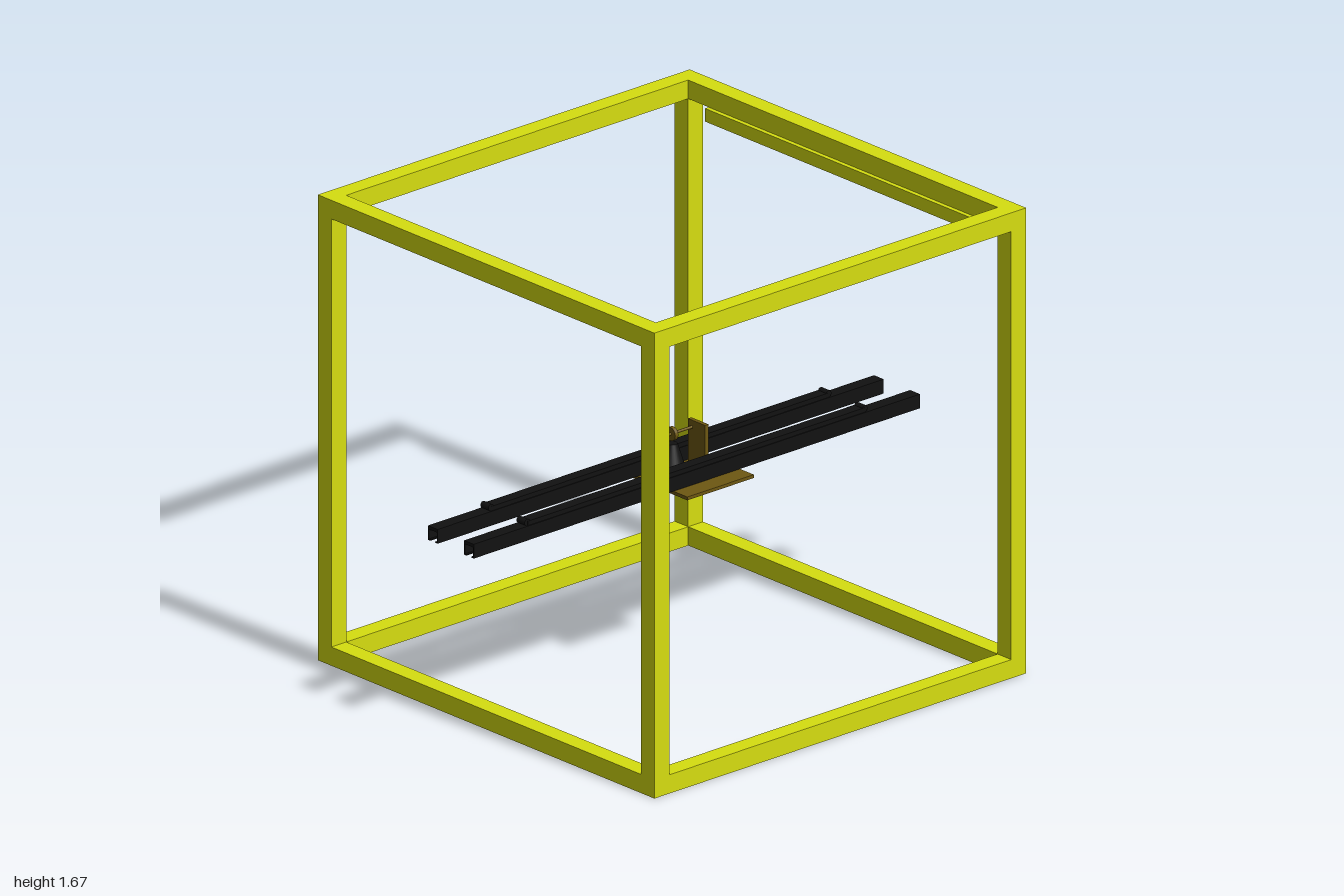
import * as THREE from 'three';

const mat = (color) => new THREE.MeshStandardMaterial({ color });

export function createModel() {
  const model = new THREE.Group();
  const yellow = mat(0xd6de10), black = mat(0x111111), brown = mat(0x6e5812);

  const add = (parent, name, geometry, material, x, y, z) => {
    const mesh = new THREE.Mesh(geometry, material);
    mesh.name = name;
    mesh.position.set(x, y, z);
    parent.add(mesh);
    return mesh;
  };
  // box given by its lower and upper corners
  const box = (parent, name, material, [x0, y0, z0], [x1, y1, z1]) =>
    add(parent, name, new THREE.BoxGeometry(x1 - x0, y1 - y0, z1 - z0), material,
      (x0 + x1) / 2, (y0 + y1) / 2, (z0 + z1) / 2);
  const group = (name) => {
    const g = new THREE.Group();
    g.name = name;
    model.add(g);
    return g;
  };

  // Cube frame of square beams
  const frame = group('frame');
  const H = 1.667, R = H / 2, T = 0.067, I = R - T;
  for (const s of [-1, 1]) {
    for (const t of [-1, 1])
      add(frame, 'post', new THREE.BoxGeometry(T, H, T), yellow, s * (R - T / 2), R, t * (R - T / 2));
    for (const y of [T / 2, H - T / 2]) {
      add(frame, 'crossBeam', new THREE.BoxGeometry(2 * I, T, T), yellow, 0, y, s * (R - T / 2));
      add(frame, 'sideBeam', new THREE.BoxGeometry(T, T, 2 * I), yellow, s * (R - T / 2), y, 0);
    }
  }

  // Thin angle strips under the upper side beams
  const strips = group('angleStrips');
  for (const s of [-1, 1]) {
    add(strips, 'stripFlange', new THREE.BoxGeometry(0.05, 0.004, 1.33), yellow, s * 0.777, 1.598, 0);
    add(strips, 'stripLip', new THREE.BoxGeometry(0.004, 0.047, 1.33), yellow, s * 0.752, 1.5765, 0);
  }

  // Twin rails: channels open below, with a raised strip and end stops on top
  for (const z of [-0.08, 0.099]) {
    const rail = group(z < 0 ? 'backRail' : 'frontRail');
    const W = 0.024;
    box(rail, 'railWeb', black, [-1, 0.732, z - W], [1, 0.744, z + W]);
    for (const s of [-1, 1]) {
      add(rail, 'railWall', new THREE.BoxGeometry(2, 0.04, 0.004), black, 0, 0.713, z + s * (W - 0.002));
      add(rail, 'railLip', new THREE.BoxGeometry(2, 0.004, 0.008), black, 0, 0.695, z + s * (W - 0.008));
      const stop = add(rail, 'endStop', new THREE.CylinderGeometry(0.012, 0.012, 0.04, 16), black,
        s * 0.757, 0.756, z);
      stop.rotation.x = Math.PI / 2;
    }
    box(rail, 'topStrip', black, [-0.755, 0.744, z - 0.021], [0.755, 0.76, z + 0.021]);
  }

  // Carriage plate with two uprights and an axle between them
  const carriage = group('carriage');
  box(carriage, 'basePlate', brown, [-0.103, 0.68, -0.107], [0.195, 0.692, 0.19]);
  for (const s of [-1, 1])
    add(carriage, 'upright', new THREE.BoxGeometry(0.015, 0.168, 0.085), brown, s * 0.096, 0.776, 0.024);
  const axle = add(carriage, 'axle', new THREE.CylinderGeometry(0.005, 0.005, 0.19, 16), brown, 0, 0.835, 0);
  axle.rotation.z = Math.PI / 2;
  const hub = add(carriage, 'pulley', new THREE.CylinderGeometry(0.024, 0.024, 0.014, 24), brown, 0, 0.835, 0);
  hub.rotation.z = Math.PI / 2;

  // Tapered nozzle with a flange below the plate
  const nozzle = group('nozzle');
  add(nozzle, 'nozzleCone', new THREE.CylinderGeometry(0.019, 0.055, 0.118, 32), black, 0, 0.742, 0);
  add(nozzle, 'nozzleFlange', new THREE.CylinderGeometry(0.059, 0.059, 0.012, 32), black, 0, 0.676, 0);

  return model;
}
